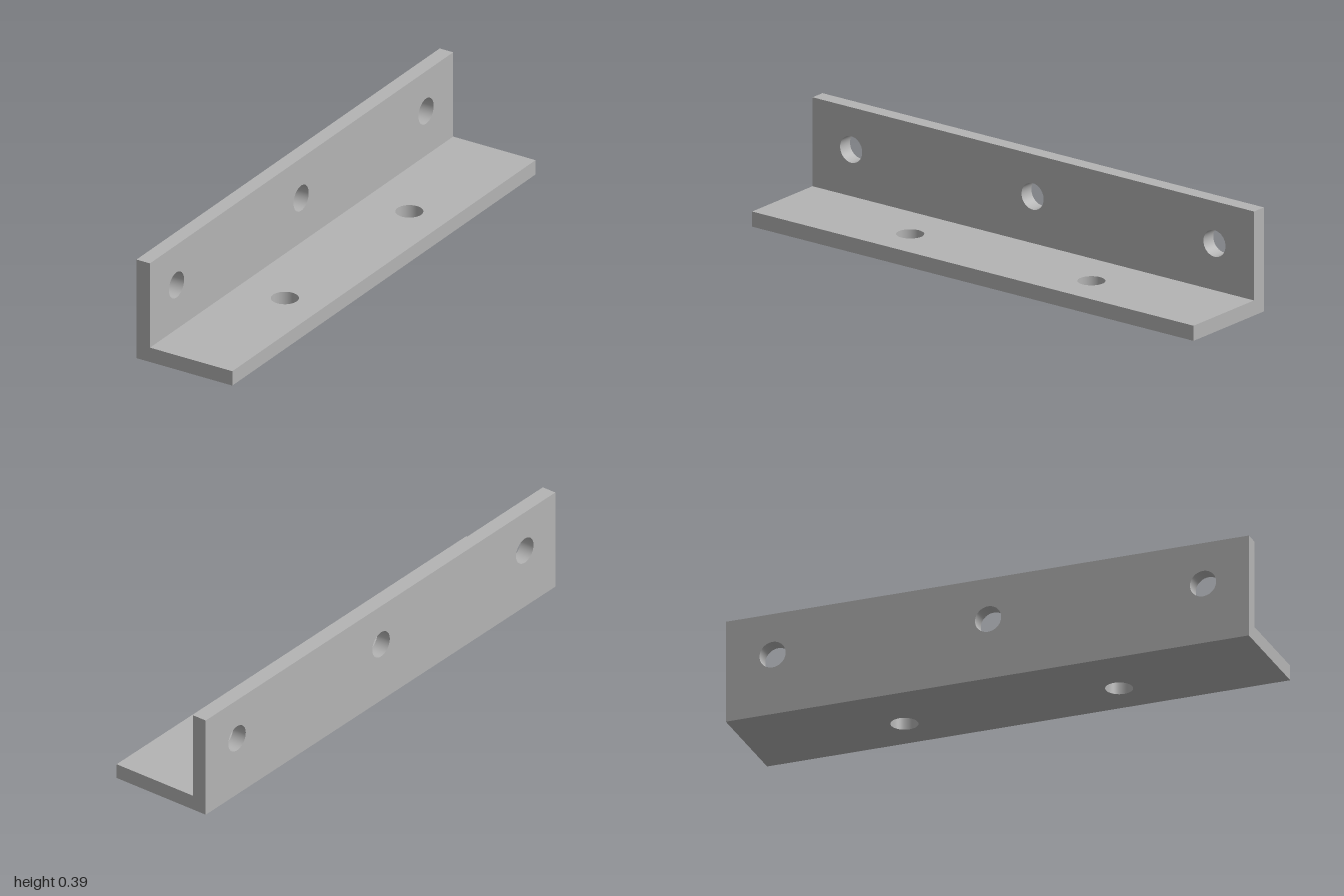
import * as THREE from 'three';

export function createModel() {
  const steel = new THREE.MeshStandardMaterial({ color: 0xb4b4b4, side: THREE.DoubleSide });
  steel.name = 'greySteel';
  const bracket = new THREE.Group();
  bracket.name = 'angleBracket';

  const w = 0.2025, h = 0.392, t = 0.057, len = 1.9976, r = 0.05;
  const wallY = 0.233, wallZ = [0.824, 0.003, -0.82];
  const baseX = 0.045, baseZ = [0.407, -0.413];

  const add = (name, geometry) => {
    const mesh = new THREE.Mesh(geometry, steel);
    mesh.name = name;
    bracket.add(mesh);
    return mesh;
  };

  // L profile, counter-clockwise, with drilled faces
  const profile = [[-w, 0], [w, 0], [w, t], [-w + t, t], [-w + t, h], [-w, h]]
    .map(([x, y]) => new THREE.Vector2(x, y));
  const faces = [
    { name: 'baseUnderside', at: baseX + w, z: baseZ },
    { name: 'baseEdge' },
    { name: 'baseTop', at: w - baseX, z: baseZ },
    { name: 'wallInnerFace', at: wallY - t, z: wallZ },
    { name: 'wallTopEdge' },
    { name: 'wallOuterFace', at: h - wallY, z: wallZ },
  ];

  // One long face per profile edge
  const along = new THREE.Vector3(0, 0, 1);
  faces.forEach(({ name, at, z = [] }, i) => {
    const a = profile[i], b = profile[(i + 1) % profile.length];
    const size = a.distanceTo(b);
    const shape = new THREE.Shape([
      new THREE.Vector2(0, -len / 2), new THREE.Vector2(size, -len / 2),
      new THREE.Vector2(size, len / 2), new THREE.Vector2(0, len / 2),
    ]);
    z.forEach((p) => shape.holes.push(new THREE.Path().absarc(at, p, r, 0, Math.PI * 2, true)));
    const u = new THREE.Vector3(b.x - a.x, b.y - a.y, 0).normalize();
    const normal = new THREE.Vector3().crossVectors(u, along);
    const frame = new THREE.Matrix4().makeBasis(u, along, normal).setPosition(a.x, a.y, 0);
    add(name, new THREE.ShapeGeometry(shape, 24).applyMatrix4(frame));
  });

  // L-shaped ends
  const end = new THREE.ShapeGeometry(new THREE.Shape(profile));
  add('frontEnd', end).position.z = len / 2;
  const back = new THREE.ShapeGeometry(new THREE.Shape(profile.map((p) => new THREE.Vector2(-p.x, p.y))));
  add('backEnd', back.rotateY(Math.PI)).position.z = -len / 2;

  // Bores of the screw holes
  const bore = new THREE.CylinderGeometry(r, r, t, 48, 1, true);
  baseZ.forEach((z) => add('baseHole', bore).position.set(baseX, t / 2, z));
  wallZ.forEach((z) => {
    const hole = add('wallHole', bore);
    hole.rotation.z = Math.PI / 2;
    hole.position.set(-w + t / 2, wallY, z);
  });

  // Slight skew about the upright axis
  bracket.rotation.y = 0.006;
  const model = new THREE.Group();
  model.name = 'model';
  model.add(bracket);
  return model;
}
